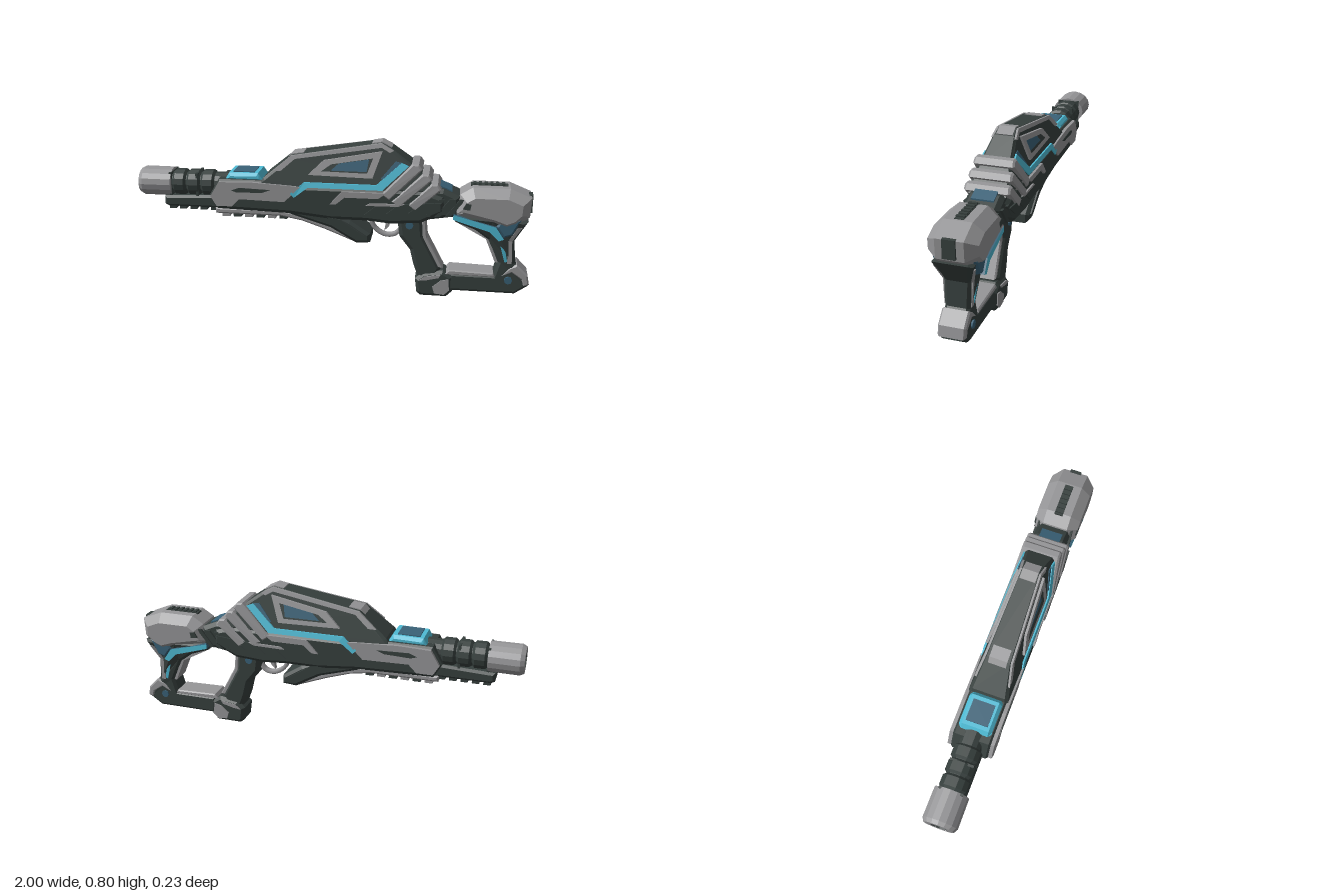
import * as THREE from 'three';

const paint = (name, hex) => {
  const m = new THREE.MeshStandardMaterial({ color: hex });
  m.name = name;
  return m;
};

export function createModel() {
  const rifle = new THREE.Group();
  rifle.name = 'rifle';
  const dark = paint('dark composite', 0x37403e);
  const grey = paint('light grey armour', 0x969698);
  const cyan = paint('bright cyan', 0x4fbcd6);
  const blue = paint('steel blue', 0x3a6278);

  const add = (name, geo, mat) => {
    const mesh = new THREE.Mesh(geo, mat);
    mesh.name = name;
    rifle.add(mesh);
    return mesh;
  };
  const outline = (pts) => new THREE.Shape(pts.map(([x, y]) => new THREE.Vector2(x, y)));

  // Side profile extruded across z with chamfered edges; width(y) may taper it
  function solid(name, mat, pts, half, bevel = 0.012, depth = bevel, width = null) {
    const geo = new THREE.ExtrudeGeometry(outline(pts), {
      depth: 2 * (half - depth), bevelEnabled: bevel > 0, bevelSegments: 1,
      bevelSize: bevel, bevelOffset: -bevel, bevelThickness: depth,
    });
    geo.translate(0, 0, depth - half);
    const p = geo.attributes.position;
    if (width) for (let i = 0; i < p.count; i++) p.setZ(i, p.getZ(i) * width(p.getY(i)) / half);
    geo.computeVertexNormals();
    return add(name, geo, mat);
  }

  // Thin plate laid on both flanks, following the flank surface z = flank(y)
  function plates(name, mat, pts, flank, lift = 0.006, hole = null) {
    const shape = outline(pts);
    if (hole) shape.holes.push(new THREE.Path(hole.map(([x, y]) => new THREE.Vector2(x, y))));
    for (const side of [1, -1]) {
      const sink = 0.006, t = lift + sink;
      const geo = new THREE.ExtrudeGeometry(shape, { depth: t, bevelEnabled: false });
      const p = geo.attributes.position;
      for (let i = 0; i < p.count; i++) {
        const z = flank(p.getY(i)) - sink;
        p.setZ(i, p.getZ(i) + (side > 0 ? z : -z - t));
      }
      geo.computeVertexNormals();
      add(name + (side > 0 ? 'Left' : 'Right'), geo, mat);
    }
  }

  // Turned part along x: profile of [radius, -x], rear to front
  function turned(name, mat, profile, sides, zScale) {
    let geo = new THREE.LatheGeometry(profile.map(([r, d]) => new THREE.Vector2(r, d)), sides);
    geo = geo.rotateZ(Math.PI / 2).scale(1, 1, zScale).translate(0, 0.54, 0).toNonIndexed();
    geo.computeVertexNormals();
    add(name, geo, mat);
  }
  const box = (name, mat, x0, x1, y0, y1, half) => add(name,
    new THREE.BoxGeometry(x1 - x0, y1 - y0, 2 * half).translate((x0 + x1) / 2, (y0 + y1) / 2, 0), mat);

  const at = (w) => () => w;
  const housingWall = (y) => 0.1 - (y - 0.58) * 0.24;
  const flank = (y) => Math.min(0.105, housingWall(y));
  const postWall = (y) => 0.058 + Math.max(0, y - 0.3) * 0.3;

  // Muzzle and ribbed barrel
  turned('muzzle', grey, [[0, 0.83], [0.073, 0.83], [0.074, 0.98], [0.064, 1], [0.034, 1]], 16, 1.18);
  turned('bore', dark, [[0.034, 1], [0.03, 0.95], [0, 0.95]], 8, 1.18);
  const ribs = [[0, 0.5], [0.06, 0.5]];
  for (const c of [0.64, 0.715, 0.79]) ribs.push([0.056, c - 0.036], [0.068, c - 0.024], [0.068, c + 0.024], [0.056, c + 0.036]);
  ribs.push([0.056, 0.84], [0, 0.84]);
  turned('barrel', dark, ribs, 14, 1.05);
  for (const x of [-0.84, -0.7]) box('muzzleSeam', dark, x, x + 0.012, 0.48, 0.6, 0.06);

  // Under-barrel block with teeth
  solid('underBarrel', dark, [[-0.87, 0.43], [-0.87, 0.475], [-0.5, 0.49], [-0.5, 0.42], [-0.85, 0.42]], 0.06);
  for (let i = 0; i < 5; i++) box('underBarrelTooth', dark, -0.85 + i * 0.055, -0.815 + i * 0.055, 0.405, 0.43, 0.045);

  // Main body and tapered upper housing
  solid('mainBody', dark, [[-0.62, 0.5], [-0.57, 0.585], [-0.34, 0.585], [-0.3, 0.57], [0.46, 0.57], [0.56, 0.54],
    [0.57, 0.46], [0.45, 0.4], [0.3, 0.39], [0.18, 0.4], [0, 0.4], [-0.2, 0.42], [-0.58, 0.43]], 0.105, 0.02);
  solid('upperHousing', dark, [[-0.37, 0.56], [-0.34, 0.6], [-0.2, 0.715], [0.25, 0.79], [0.3, 0.765], [0.43, 0.67],
    [0.54, 0.56]], 0.1, 0.014, 0.014, housingWall);
  plates('housingTrim', grey, [[-0.29, 0.64], [-0.2, 0.715], [0.25, 0.788], [0.31, 0.755], [0.29, 0.745], [0.25, 0.768],
    [-0.18, 0.7], [-0.25, 0.64]], flank, 0.004);
  solid('frontRidge', grey, [[-0.25, 0.668], [-0.2, 0.72], [-0.14, 0.729], [-0.14, 0.715], [-0.19, 0.705]], 0.045, 0);
  solid('rearRidge', grey, [[0.2, 0.775], [0.2, 0.786], [0.25, 0.795], [0.3, 0.77], [0.29, 0.76]], 0.04, 0);

  // Side window: raised frame with inset blue pane
  plates('windowFrame', grey, [[-0.11, 0.628], [-0.035, 0.7], [0.255, 0.752], [0.21, 0.622]], flank, 0.012,
    [[-0.045, 0.648], [0.005, 0.683], [0.21, 0.718], [0.183, 0.645]]);
  plates('windowPane', blue, [[0, 0.65], [0.04, 0.685], [0.19, 0.71], [0.18, 0.65]], flank, 0.002);

  // Front armour and glowing sight
  plates('frontArmour', grey, [[-0.61, 0.5], [-0.565, 0.575], [-0.4, 0.58], [-0.2, 0.57], [-0.15, 0.565], [-0.23, 0.485],
    [-0.46, 0.49], [-0.5, 0.45], [-0.58, 0.45]], at(0.1), 0.012);
  plates('armourGroove', dark, [[-0.5, 0.535], [-0.46, 0.55], [-0.3, 0.545], [-0.34, 0.53], [-0.47, 0.525]], at(0.112), 0.003);
  solid('sight', cyan, [[-0.54, 0.58], [-0.52, 0.615], [-0.37, 0.618], [-0.345, 0.58]], 0.082, 0.015);
  box('sightLens', blue, -0.5, -0.39, 0.6, 0.621, 0.055);

  // Flank stripes
  plates('cyanStripe', cyan, [[-0.2, 0.53], [-0.13, 0.59], [0.23, 0.59], [0.35, 0.7], [0.385, 0.685], [0.26, 0.565],
    [-0.11, 0.565], [-0.18, 0.51]], flank, 0.008);
  plates('blueAccent', blue, [[0.25, 0.62], [0.32, 0.705], [0.35, 0.7], [0.26, 0.615]], flank, 0.004);
  plates('greyStripe', grey, [[0, 0.485], [0.06, 0.552], [0.28, 0.552], [0.24, 0.523], [0.075, 0.523], [0.03, 0.485]], at(0.105), 0.01);

  // Three grey bands wrapping over the rear slope
  const bandWall = (y) => 0.115 - Math.max(0, y - 0.55) * 0.12;
  [[0.435, 0.69, 0.27, 0.535], [0.485, 0.642, 0.32, 0.5], [0.53, 0.596, 0.4, 0.485]].forEach(([x, y, u, v]) =>
    solid('rearBand', grey, [[x - 0.03, y + 0.01], [x, y + 0.008], [x + 0.018, y - 0.018], [u + 0.025, v - 0.018], [u - 0.015, v + 0.01]],
      0.11, 0.007, 0.01, bandWall));

  // Lower flank slats, fin and rail
  for (let i = 0; i < 3; i++) {
    const x = 0.17 + i * 0.11, y = 0.435 + i * 0.01;
    plates('lowerSlat', dark, [[x, y], [x + 0.06, y + 0.05], [x + 0.16, y + 0.06], [x + 0.08, y]], at(0.105), 0.008);
  }
  plates('slatEdge', grey, [[0.18, 0.485], [0.2, 0.497], [0.37, 0.5], [0.34, 0.487]], at(0.105), 0.009);
  solid('lowerFin', dark, [[-0.28, 0.44], [0, 0.44], [0.1, 0.39], [0.2, 0.325], [0.2, 0.28], [0.13, 0.275], [0, 0.35], [-0.2, 0.41]], 0.085, 0.015);
  plates('finRidge', dark, [[-0.02, 0.41], [0.05, 0.4], [0.17, 0.32], [0.14, 0.31]], at(0.085), 0.008);
  solid('underRail', grey, [[-0.6, 0.395], [-0.6, 0.425], [-0.26, 0.425], [-0.12, 0.4], [0, 0.36], [0.15, 0.29], [0.13, 0.272],
    [-0.03, 0.335], [-0.15, 0.375], [-0.26, 0.395]], 0.066, 0.008);
  for (let i = 0; i < 6; i++) box('railTooth', i % 2 ? dark : grey, -0.57 + i * 0.06, -0.53 + i * 0.06, 0.375, 0.41, 0.045);

  // Trigger and guard
  const guard = new THREE.CatmullRomCurve3([[0.19, 0.4], [0.215, 0.34], [0.27, 0.305], [0.32, 0.31], [0.35, 0.34]]
    .map(([x, y]) => new THREE.Vector3(x, y, 0)));
  add('triggerGuard', new THREE.TubeGeometry(guard, 16, 0.012, 6).scale(1, 1, 1.8), grey);
  solid('trigger', grey, [[0.26, 0.4], [0.29, 0.4], [0.29, 0.35], [0.265, 0.325], [0.272, 0.36]], 0.012, 0);

  // Grip and pommel
  solid('grip', dark, [[0.33, 0.42], [0.46, 0.42], [0.47, 0.32], [0.56, 0.15], [0.53, 0.08], [0.45, 0.08], [0.42, 0.16],
    [0.4, 0.24], [0.345, 0.31]], 0.055, 0.02);
  solid('gripTrim', grey, [[0.455, 0.4], [0.475, 0.4], [0.485, 0.31], [0.57, 0.15], [0.54, 0.15], [0.46, 0.3]], 0.045, 0.006);
  solid('pommel', dark, [[0.44, 0.015], [0.43, 0.09], [0.47, 0.125], [0.57, 0.14], [0.62, 0.11], [0.62, 0.03], [0.59, 0], [0.46, 0]], 0.064, 0.016);
  plates('pommelArmour', grey, [[0.53, 0.02], [0.58, 0.015], [0.605, 0.04], [0.6, 0.1], [0.56, 0.09], [0.52, 0.055]], at(0.064));
  plates('pommelTrim', grey, [[0.45, 0.085], [0.48, 0.108], [0.56, 0.122], [0.55, 0.105], [0.49, 0.09]], at(0.064));

  // Neck joining body and stock
  solid('neck', dark, [[0.46, 0.58], [0.56, 0.575], [0.64, 0.54], [0.64, 0.44], [0.46, 0.41], [0.38, 0.45]], 0.088, 0.02);
  solid('neckPlate', blue, [[0.52, 0.57], [0.535, 0.59], [0.6, 0.565], [0.6, 0.55]], 0.055, 0);
  for (let i = 0; i < 3; i++) {
    const x = 0.47 + i * 0.05;
    plates('neckRib', dark, [[x, 0.44], [x + 0.07, 0.53], [x + 0.095, 0.53], [x + 0.025, 0.44]], at(0.1 - i * 0.006), 0.006);
  }

  // Open stock: lower bar and flaring rear post
  solid('stockFrame', dark, [[0.6, 0.035], [0.93, 0.035], [0.995, 0.08], [0.985, 0.13], [0.925, 0.2], [0.915, 0.32], [0.975, 0.43],
    [0.8, 0.44], [0.62, 0.45], [0.62, 0.41], [0.72, 0.37], [0.785, 0.32], [0.84, 0.2], [0.82, 0.13], [0.6, 0.13]], 0.058, 0.014, 0.014, postWall);
  solid('lowerBarTrim', grey, [[0.58, 0.122], [0.6, 0.148], [0.82, 0.142], [0.83, 0.122]], 0.06, 0.006);
  solid('innerPostTrim', grey, [[0.62, 0.435], [0.78, 0.345], [0.84, 0.2], [0.825, 0.2], [0.775, 0.32], [0.62, 0.405]], 0.05, 0);
  solid('heel', grey, [[0.86, 0.13], [0.9, 0.18], [0.935, 0.195], [0.99, 0.14], [1, 0.09], [0.97, 0.08], [0.96, 0.115], [0.91, 0.15]], 0.064, 0.008);
  plates('postTrim', grey, [[0.885, 0.2], [0.885, 0.32], [0.925, 0.4], [0.945, 0.4], [0.903, 0.32], [0.908, 0.2]], postWall, 0.005);
  solid('stockGlow', [cyan, blue], [[0.61, 0.43], [0.79, 0.375], [0.835, 0.33], [0.86, 0.34], [0.82, 0.4], [0.61, 0.455]], 0.105, 0);
  solid('postWedge', blue, [[0.82, 0.4], [0.86, 0.345], [0.9, 0.36], [0.94, 0.44], [0.85, 0.45]], 0.1, 0.01);
  plates('postGlow', cyan, [[0.835, 0.335], [0.858, 0.34], [0.885, 0.21], [0.872, 0.205]], postWall, 0.005);

  // Stock head with top rail and butt pad
  solid('stockHead', grey, [[0.605, 0.46], [0.64, 0.55], [0.7, 0.588], [0.88, 0.588], [0.985, 0.545], [0.98, 0.45],
    [0.93, 0.4], [0.87, 0.375], [0.8, 0.4], [0.62, 0.44]], 0.115, 0.042, 0.05);
  box('topRail', dark, 0.69, 0.87, 0.57, 0.591, 0.022);
  for (let i = 0; i < 6; i++) box('topRailRib', dark, 0.7 + i * 0.028, 0.715 + i * 0.028, 0.58, 0.598, 0.02);
  box('buttPad', dark, 0.96, 0.992, 0.46, 0.55, 0.03);
  plates('headRecess', dark, [[0.655, 0.49], [0.67, 0.52], [0.695, 0.515], [0.69, 0.485]], at(0.114), 0.003);

  // Blue pivot discs
  for (const [x, y, w] of [[0.395, 0.375, 0.056], [0.895, 0.11, 0.06]])
    plates('pivotDisc', blue, Array.from({ length: 8 }, (_, i) =>
      [x + 0.02 * Math.cos(i * Math.PI / 4), y + 0.02 * Math.sin(i * Math.PI / 4)]), at(w));

  return rifle;
}
